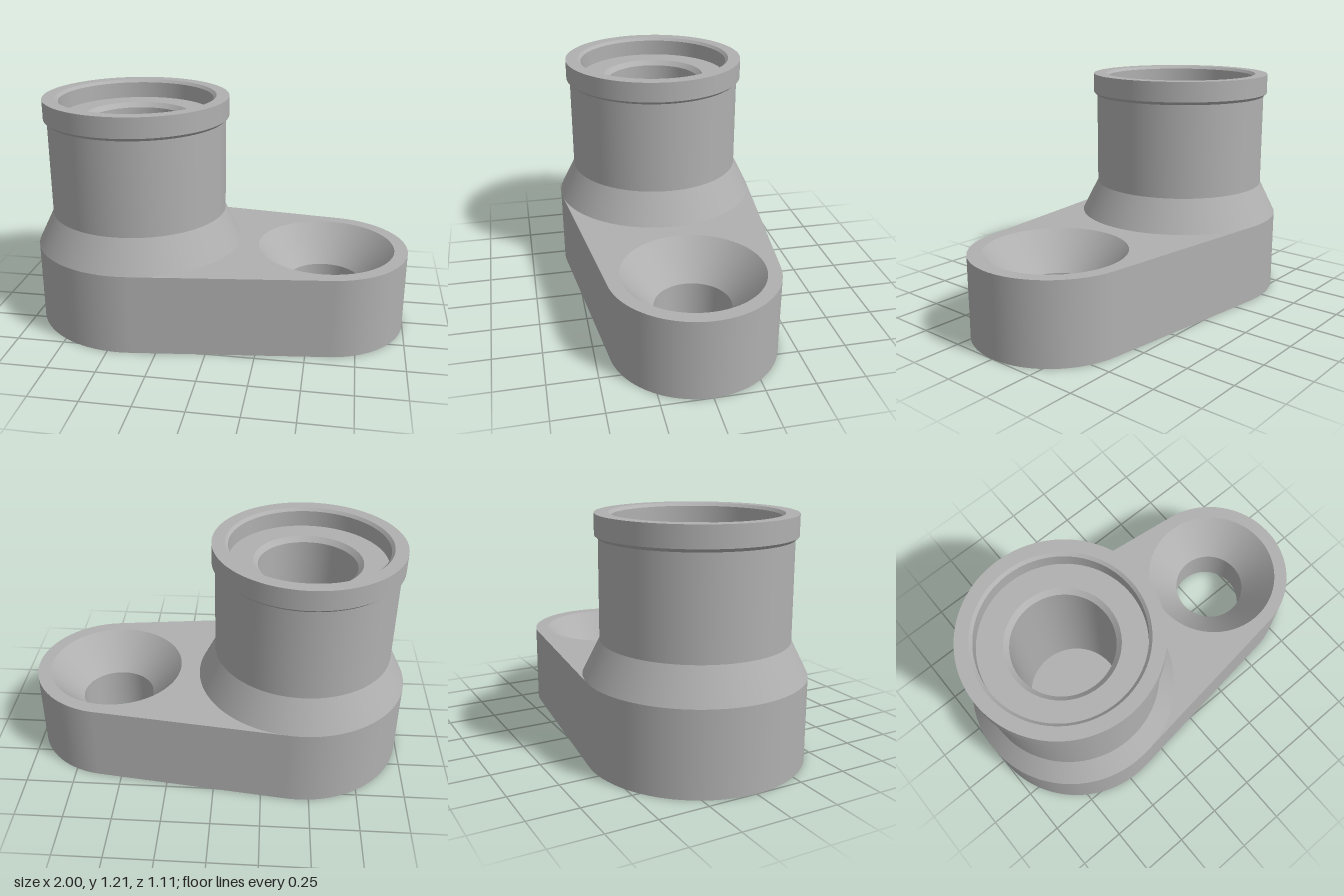
import * as THREE from 'three';
import { mergeGeometries } from 'three/addons/utils/BufferGeometryUtils.js';

const SEG = 96;
const PLATE_TOP = 0.425;
const BIG = { x: -0.447, r: 0.553 };    // tower end of the plate
const SMALL = { x: 0.57, r: 0.43 };     // countersunk end of the plate
const SINK = { top: 0.36, bore: 0.195, y: 0.23 };
const PIN = { x: -0.02, z: 0.26, r: 0.12, depth: 0.28 };

// Lathe with smooth rounds and a sharp edge at every profile point
function crispLathe(profile) {
  const bands = [];
  for (let i = 0; i < profile.length - 1; i++) {
    const pair = [profile[i], profile[i + 1]].map(([r, y]) => new THREE.Vector2(r, y));
    bands.push(new THREE.LatheGeometry(pair, SEG));
  }
  return mergeGeometries(bands);
}

// Two arcs joined by their common tangents, each point with its outward normal
function plateOutline() {
  const theta = Math.acos((BIG.r - SMALL.r) / (SMALL.x - BIG.x));
  const points = [];
  const arc = (c, from, to) => {
    for (let i = 0; i <= SEG / 2; i++) {
      const t = from + (to - from) * i / (SEG / 2);
      const nx = Math.cos(t), ny = Math.sin(t);
      points.push({ x: c.x + c.r * nx, y: c.r * ny, nx, ny });
    }
  };
  arc(SMALL, -theta, theta);
  arc(BIG, theta, 2 * Math.PI - theta);
  return points;
}

function plateWall(outline) {
  const pos = [], nor = [], idx = [];
  const loop = [...outline, outline[0]];
  loop.forEach((p, i) => {
    pos.push(p.x, 0, -p.y, p.x, PLATE_TOP, -p.y);
    nor.push(p.nx, 0, -p.ny, p.nx, 0, -p.ny);
    const a = i * 2;
    if (i < loop.length - 1) idx.push(a, a + 2, a + 1, a + 2, a + 3, a + 1);
  });
  const g = new THREE.BufferGeometry();
  g.setAttribute('position', new THREE.Float32BufferAttribute(pos, 3));
  g.setAttribute('normal', new THREE.Float32BufferAttribute(nor, 3));
  g.setIndex(idx);
  return g;
}

// Flat plate face pierced by round holes given as [x, z, radius]
function plateFace(outline, holes) {
  const shape = new THREE.Shape(outline.map(p => new THREE.Vector2(p.x, p.y)));
  for (const [x, z, r] of holes) {
    shape.holes.push(new THREE.Path().absarc(x, z, r, 0, Math.PI * 2, true));
  }
  return new THREE.ShapeGeometry(shape, SEG / 2);
}

export function createModel() {
  const model = new THREE.Group();
  model.name = 'mountingBracket';
  const metal = new THREE.MeshStandardMaterial({ color: 0xb0b0b0 });
  metal.name = 'grey metal';

  const add = (name, geometry, x = 0, z = 0) => {
    const mesh = new THREE.Mesh(geometry, metal);
    mesh.name = name;
    mesh.position.set(x, 0, z);
    model.add(mesh);
  };

  // Base plate
  const outline = plateOutline();
  add('plateWall', plateWall(outline));
  const top = plateFace(outline, [[SMALL.x, 0, SINK.top], [BIG.x, 0, 0.5]]);
  add('plateTop', top.rotateX(-Math.PI / 2).translate(0, PLATE_TOP, 0));
  const bottom = plateFace(outline, [
    [SMALL.x, 0, SINK.bore],
    [PIN.x, PIN.z, PIN.r],
    [PIN.x, -PIN.z, PIN.r],
  ]);
  add('plateBottom', bottom.rotateX(Math.PI / 2));

  // Countersunk through hole
  add('countersunkHole', crispLathe([
    [SINK.top, PLATE_TOP], [SINK.bore, SINK.y], [SINK.bore, 0],
  ]), SMALL.x);

  // Blind pin holes in the underside
  for (const side of [1, -1]) {
    add(side > 0 ? 'frontPinHole' : 'backPinHole', crispLathe([
      [0, PIN.depth], [PIN.r, PIN.depth], [PIN.r, 0],
    ]), PIN.x, side * PIN.z);
  }

  // Flared tower with collar, stepped recess and blind bore
  add('tower', crispLathe([
    [BIG.r, PLATE_TOP], [0.467, 0.597], [0.467, 1.09],
    [0.485, 1.106], [0.485, 1.21],
    [0.418, 1.21], [0.403, 1.195], [0.403, 1.11],
    [0.277, 1.11], [0.252, 1.085], [0.252, 0.25], [0, 0.25],
  ]), BIG.x);

  return model;
}
